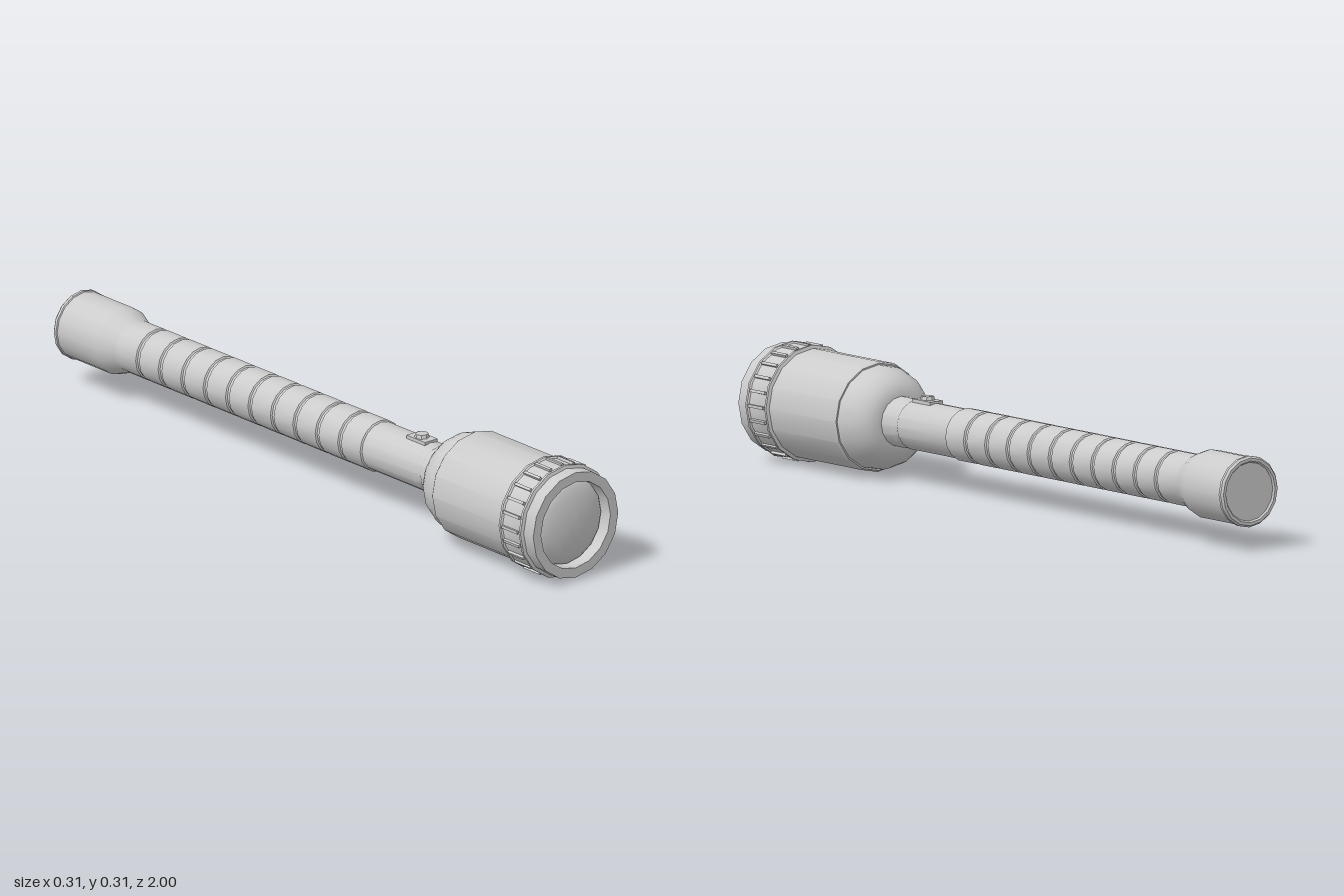
import * as THREE from 'three';
import { toCreasedNormals } from 'three/addons/utils/BufferGeometryUtils.js';

const AXIS_Y = 0.158;
const SIDES = 16;

export function createModel() {
  const model = new THREE.Group();
  model.name = 'flashlight';
  const material = new THREE.MeshStandardMaterial({ color: 0xcccccc });

  // Everything lies along z; the group lifts the axis off the ground.
  const torch = new THREE.Group();
  torch.name = 'torch';
  torch.position.y = AXIS_Y;
  model.add(torch);

  function add(name, geometry, parent = torch) {
    const mesh = new THREE.Mesh(toCreasedNormals(geometry, 0.6), material);
    mesh.name = name;
    parent.add(mesh);
    return mesh;
  }

  // Turned part: profile of [radius, z], running from back to front.
  function turned(name, profile) {
    const points = profile.map(([r, z]) => new THREE.Vector2(r, z));
    return add(name, new THREE.LatheGeometry(points, SIDES).rotateX(Math.PI / 2));
  }

  // Flared tail with a lipped end cap
  turned('tailCap', [
    [0, -0.995], [0.078, -0.995], [0.082, -1], [0.09, -1], [0.095, -0.994],
    [0.095, -0.986], [0.092, -0.984], [0.092, -0.83], [0.088, -0.815],
    [0.075, -0.785], [0.07, -0.77], [0.066, -0.76],
  ]);

  // Ribbed grip: raised sleeves separated by narrow grooves
  const grip = [[0.066, -0.78], [0.071, -0.775]];
  for (let i = 0; i < 11; i++) {
    const z = -0.685 + i * 0.0905;
    grip.push([0.071, z - 0.007], [0.067, z - 0.004]);
    if (i < 10) grip.push([0.067, z + 0.004], [0.071, z + 0.007]);
  }
  turned('grip', grip);

  // Plain neck with a small collar where it enters the head
  turned('neck', [
    [0.067, 0.2], [0.067, 0.425], [0.063, 0.432], [0.063, 0.445],
    [0.067, 0.452], [0.067, 0.52],
  ]);

  // Domed shoulder behind the head
  const shoulder = [[0.06, 0.492]];
  for (let i = 0; i <= 7; i++) {
    const a = (i / 7) * Math.PI / 2;
    shoulder.push([0.066 + 0.073 * Math.sin(a), 0.588 - 0.096 * Math.cos(a)]);
  }
  turned('shoulder', shoulder);

  // Head barrel with a recessed front opening
  turned('head', [
    [0.135, 0.588], [0.143, 0.588], [0.147, 0.594], [0.147, 1],
    [0.12, 1], [0.12, 0.955],
  ]);

  // Knurled collar: two end rims with a lower band between
  turned('collar', [
    [0.146, 0.868], [0.156, 0.871], [0.156, 0.878], [0.152, 0.882],
    [0.152, 0.948], [0.156, 0.952], [0.156, 0.959], [0.146, 0.962],
  ]);
  const ridges = new THREE.Group();
  ridges.name = 'collarRidges';
  torch.add(ridges);
  for (let i = 0; i < 24; i++) {
    const a = (i / 24) * Math.PI * 2;
    const ridge = add('collarRidge', new THREE.BoxGeometry(0.008, 0.011, 0.062), ridges);
    ridge.position.set(Math.sin(a) * 0.151, Math.cos(a) * 0.151, 0.915);
    ridge.rotation.z = -a;
  }

  // Bulging lens
  const lens = [];
  for (let i = 0; i <= 8; i++) {
    const a = (1 - i / 8) * Math.PI / 2;
    lens.push([0.12 * Math.sin(a), 0.958 + 0.035 * Math.cos(a)]);
  }
  turned('lens', lens);

  // Switch: a low pad on the neck with a faceted push button
  const pad = add('switchPad', new THREE.BoxGeometry(0.044, 0.014, 0.075));
  pad.position.set(0, 0.065, 0.38);
  const button = add('switchButton', new THREE.CylinderGeometry(0.017, 0.021, 0.014, 8));
  button.position.set(0, 0.075, 0.38);

  return model;
}
